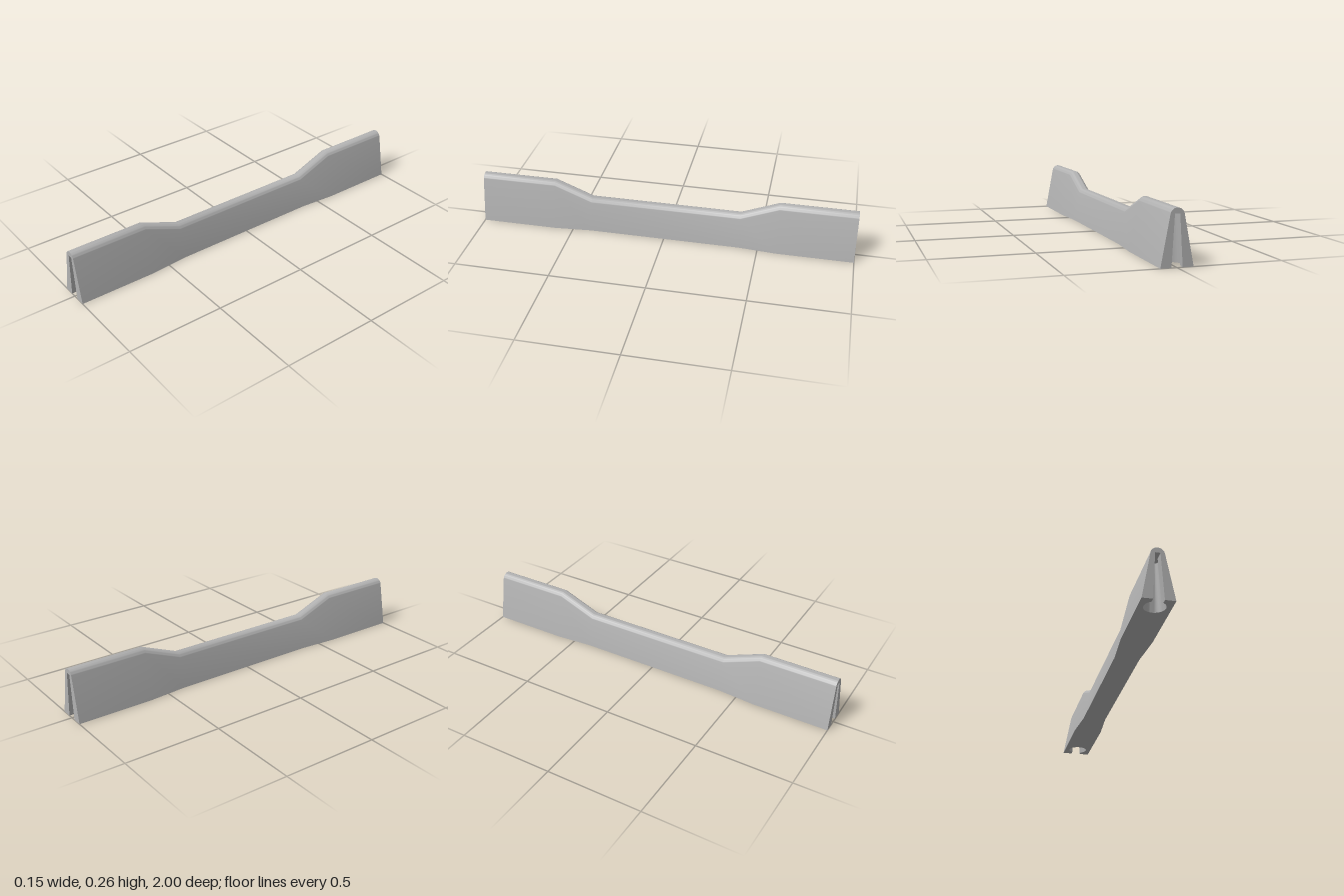
import * as THREE from 'three';
import { toCreasedNormals } from 'three/addons/utils/BufferGeometryUtils.js';

const R = 0.033, SLOPE = 0.19;            // crest radius and lean of the sides
const HIGH = 0.26, LOW = 0.18;            // heights at the ends and in the middle
const SLOT_TOP = 0.234, HOLE_Z = 0.93;    // socket depth and hole centre

// Surface through a row of equally long point lists
function loft(rings) {
  const n = rings[0].length, pos = [], index = [];
  rings.forEach(r => r.forEach(p => pos.push(...p)));
  for (let i = 0; i < rings.length - 1; i++) {
    for (let j = 0; j < n - 1; j++) {
      const a = i * n + j, b = a + 1, c = b + n, d = a + n;
      index.push(a, b, c, a, c, d);
    }
  }
  const g = new THREE.BufferGeometry();
  g.setAttribute('position', new THREE.Float32BufferAttribute(pos, 3));
  g.setIndex(index);
  return toCreasedNormals(g, 0.6);
}

// Section: leaning sides tangent to a round crest, from right foot to left foot
function section(height) {
  const lean = Math.atan(SLOPE), cy = height - R, pts = [];
  const foot = R * Math.cos(lean) + (cy + R * Math.sin(lean)) * SLOPE;
  pts.push([foot, 0]);
  for (let k = 0; k <= 20; k++) {
    const a = lean + (Math.PI - 2 * lean) * k / 20;
    pts.push([R * Math.cos(a), cy + R * Math.sin(a)]);
  }
  pts.push([-foot, 0]);
  return pts;
}

// Keyhole outline in x and z: slot from the end into a round hole
function keyhole(half, radius) {
  const a = Math.asin(half / radius), pts = [[half, 1]];
  for (let k = 0; k <= 32; k++) {
    const t = a + (2 * Math.PI - 2 * a) * k / 32;
    pts.push([radius * Math.sin(t), HOLE_Z + radius * Math.cos(t)]);
  }
  pts.push([-half, 1]);
  return pts;
}

const flat = pts => new THREE.ShapeGeometry(
  new THREE.Shape(pts.map(p => new THREE.Vector2(p[0], p[1]))));

export function createModel() {
  const group = new THREE.Group();
  group.name = 'barrier';
  const concrete = new THREE.MeshStandardMaterial({ color: 0xb2b2b2 });
  concrete.name = 'concrete grey';
  const add = (parent, name, geometry) => {
    const mesh = new THREE.Mesh(geometry, concrete);
    mesh.name = name;
    parent.add(mesh);
  };

  // Outer shell, lower in the middle
  const stations = [[-1, HIGH], [-0.6, HIGH], [-0.4, LOW], [0.4, LOW], [0.6, HIGH], [1, HIGH]];
  add(group, 'shell', loft(stations.map(([z, h]) => section(h).map(([x, y]) => [x, y, z]))));

  const lower = keyhole(0.026, 0.051), upper = keyhole(0.012, 0.024);
  const wide = section(HIGH)[0][0], narrow = section(LOW)[0][0];

  for (const [name, turn] of [['front', 0], ['back', Math.PI]]) {
    const end = new THREE.Group();
    end.name = name + 'End';
    end.rotation.y = turn;

    // End face with the tapered slot cut out
    add(end, 'endFace', flat([...section(HIGH),
      [-0.026, 0], [-0.012, SLOT_TOP], [0.012, SLOT_TOP], [0.026, 0]]).translate(0, 0, 1));

    // Socket walls and ceiling
    add(end, 'socketWall', loft([
      upper.map(([x, z]) => [x, SLOT_TOP, z]),
      lower.map(([x, z]) => [x, 0, z])]));
    add(end, 'socketCeiling', flat(upper).rotateX(Math.PI / 2).translate(0, SLOT_TOP, 0));

    // Underside half with the keyhole cut out
    add(end, 'underside', flat([
      [-wide, 1], [-wide, 0.6], [-narrow, 0.4], [-narrow, 0],
      [narrow, 0], [narrow, 0.4], [wide, 0.6], [wide, 1], ...lower]).rotateX(Math.PI / 2));
    group.add(end);
  }
  return group;
}
